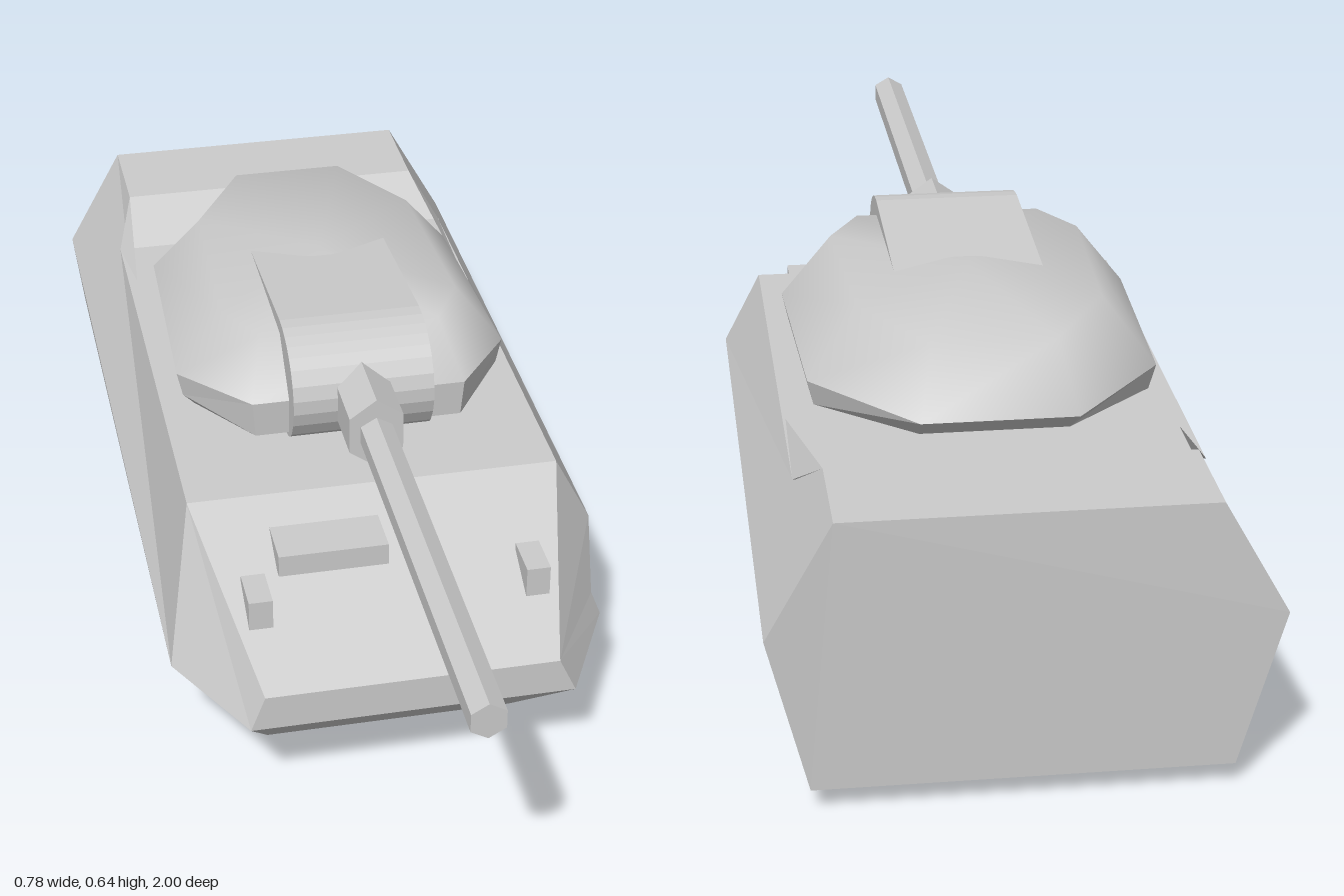
import * as THREE from 'three';

const material = new THREE.MeshStandardMaterial({ color: 0xcccccc, side: THREE.DoubleSide });
const flatMaterial = new THREE.MeshStandardMaterial({ color: 0xcccccc, side: THREE.DoubleSide, flatShading: true });

function add(parent, name, geometry, mat = flatMaterial) {
  const mesh = new THREE.Mesh(geometry, mat);
  mesh.name = name;
  parent.add(mesh);
  return mesh;
}

// Flat plate: a fan from the first corner, corners counter-clockwise from outside
function plate(parent, name, points) {
  const positions = [];
  for (let i = 1; i < points.length - 1; i++) positions.push(...points[0], ...points[i], ...points[i + 1]);
  const geometry = new THREE.BufferGeometry();
  geometry.setAttribute('position', new THREE.Float32BufferAttribute(positions, 3));
  geometry.computeVertexNormals();
  add(parent, name, geometry);
}

// Smooth skin through rings of equal length, closed by a centre point at the end
function ringSkin(rings, centre) {
  const n = rings[0].length, index = [];
  for (let r = 0; r < rings.length; r++) {
    for (let i = 0; i < n; i++) {
      const a = r * n + i, b = r * n + (i + 1) % n;
      if (r === rings.length - 1) index.push(a, b, rings.length * n);
      else index.push(a, b, b + n, a, b + n, a + n);
    }
  }
  const geometry = new THREE.BufferGeometry();
  geometry.setAttribute('position', new THREE.Float32BufferAttribute([...rings.flat(2), ...centre], 3));
  geometry.setIndex(index);
  geometry.computeVertexNormals();
  return geometry;
}

// Eight-cornered turret ring from its +x half, listed front to rear
function turretRing(half) {
  return [...half, ...half.map(([x, y, z]) => [-x, y, z]).reverse()];
}

function buildHull() {
  const hull = new THREE.Group();
  hull.name = 'hull';

  // Deck, glacis, nose and rear
  plate(hull, 'deck', [[-0.33, 0.425, 0.2], [0.325, 0.425, 0.2], [0.325, 0.425, -0.71], [-0.325, 0.425, -0.71]]);
  plate(hull, 'deckStep', [[-0.325, 0.425, -0.71], [0.325, 0.425, -0.71], [0.285, 0.487, -0.81], [-0.29, 0.487, -0.81]]);
  plate(hull, 'engineDeck', [[-0.29, 0.487, -0.81], [0.285, 0.487, -0.81], [0.285, 0.487, -1], [-0.29, 0.487, -1]]);
  plate(hull, 'glacis', [[-0.255, 0.245, 0.53], [0.25, 0.245, 0.53], [0.325, 0.425, 0.2], [-0.33, 0.425, 0.2]]);
  plate(hull, 'nosePlate', [[-0.28, 0.18, 0.53], [0.28, 0.18, 0.53], [0.25, 0.245, 0.53], [-0.255, 0.245, 0.53]]);
  plate(hull, 'lowerFrontPlate', [[-0.22, 0, 0.33], [0.22, 0, 0.33], [0.28, 0.18, 0.53], [-0.28, 0.18, 0.53]]);
  plate(hull, 'rearPlate', [[0.285, 0.487, -1], [0.39, 0.3, -1], [0.325, 0.04, -0.99],
    [-0.325, 0.04, -0.99], [-0.395, 0.3, -1], [-0.29, 0.487, -1]]);

  // Left side
  plate(hull, 'leftUpperWall', [[0.39, 0.3, 0.2], [0.39, 0.3, -1], [0.285, 0.487, -1],
    [0.285, 0.487, -0.81], [0.325, 0.425, -0.71], [0.325, 0.425, 0.2]]);
  plate(hull, 'leftLowerWall', [[0.325, 0.04, -0.99], [0.39, 0.3, -1], [0.39, 0.3, 0.2], [0.365, 0.22, 0.32], [0.38, 0.18, 0.33]]);
  plate(hull, 'leftSkirt', [[0.22, 0, 0.33], [0.325, 0.04, -0.99], [0.38, 0.18, 0.33]]);
  plate(hull, 'leftCheek', [[0.25, 0.245, 0.53], [0.28, 0.18, 0.53], [0.38, 0.18, 0.33],
    [0.365, 0.22, 0.32], [0.39, 0.3, 0.2], [0.325, 0.425, 0.2]]);
  plate(hull, 'leftLowerCheek', [[0.28, 0.18, 0.53], [0.22, 0, 0.33], [0.38, 0.18, 0.33]]);

  // Right side, whose skirt stops short of the rear plate
  plate(hull, 'rightWall', [[-0.385, 0.18, 0.33], [-0.33, 0.425, 0.2], [-0.325, 0.425, -0.71],
    [-0.29, 0.487, -0.81], [-0.29, 0.487, -1], [-0.395, 0.3, -1], [-0.38, 0.18, -0.95]]);
  plate(hull, 'rightSkirt', [[-0.22, 0, 0.33], [-0.385, 0.18, 0.33], [-0.38, 0.18, -0.95], [-0.32, 0, -0.89]]);
  plate(hull, 'rightCheek', [[-0.28, 0.18, 0.53], [-0.255, 0.245, 0.53], [-0.33, 0.425, 0.2], [-0.385, 0.18, 0.33]]);
  plate(hull, 'rightLowerCheek', [[-0.22, 0, 0.33], [-0.28, 0.18, 0.53], [-0.385, 0.18, 0.33]]);

  // Headlights and driver's vision block
  for (const [name, x] of [['leftHeadlight', 0.238], ['rightHeadlight', -0.241]]) {
    add(hull, name, new THREE.BoxGeometry(0.041, 0.055, 0.08)).position.set(x, 0.333, 0.38);
  }
  add(hull, 'visionBlock', new THREE.BoxGeometry(0.19, 0.04, 0.09)).position.set(-0.102, 0.375, 0.302);
  return hull;
}

function buildTurret() {
  const turret = new THREE.Group();
  turret.name = 'turret';

  const rim = turretRing([[0.19, 0.523, 0.065], [0.3, 0.5, -0.1], [0.285, 0.5, -0.5], [0.125, 0.505, -0.705]]);
  const shoulder = turretRing([[0.16, 0.61, -0.02], [0.215, 0.61, -0.12], [0.2, 0.61, -0.46], [0.1, 0.608, -0.63]]);
  const lowerRim = turretRing([[0.185, 0.455, 0.06], [0.29, 0.455, -0.1], [0.275, 0.455, -0.49], [0.12, 0.46, -0.64]]);
  const base = turretRing([[0.16, 0.437, 0.02], [0.27, 0.435, -0.1], [0.25, 0.435, -0.42], [0.11, 0.437, -0.5]]);
  add(turret, 'turretDome', ringSkin([rim, shoulder], [0, 0.618, -0.3]), material);
  // Reversed so the underside faces outward
  add(turret, 'turretUnderside', ringSkin([rim, lowerRim, base].map((r) => [...r].reverse()), [0, 0.435, -0.25]));

  // Gun mantlet: rounded front running back into a sloping roof
  const profile = new THREE.Shape();
  profile.moveTo(-0.42, 0.605);
  profile.lineTo(-0.02, 0.637);
  profile.quadraticCurveTo(0.045, 0.637, 0.085, 0.595);
  profile.quadraticCurveTo(0.135, 0.535, 0.085, 0.465);
  profile.quadraticCurveTo(0.06, 0.437, 0.02, 0.437);
  profile.lineTo(-0.05, 0.45);
  const mantlet = new THREE.ExtrudeGeometry(profile, { depth: 0.25, bevelEnabled: false, curveSegments: 5 });
  mantlet.translate(0, 0, -0.125).rotateY(-Math.PI / 2);
  add(turret, 'mantlet', mantlet);

  // Hexagonal barrel and sleeve
  for (const [name, radius, start, end, squash] of [['gunSleeve', 0.067, 0.07, 0.21, 0.81], ['gunBarrel', 0.032, 0.2, 1, 1]]) {
    const tube = new THREE.CylinderGeometry(radius, radius, end - start, 6);
    tube.rotateX(Math.PI / 2).scale(squash, 1, 1);
    add(turret, name, tube).position.set(0, 0.531, (start + end) / 2);
  }
  return turret;
}

export function createModel() {
  const model = new THREE.Group();
  model.name = 'tank';
  model.add(buildHull(), buildTurret());
  return model;
}
